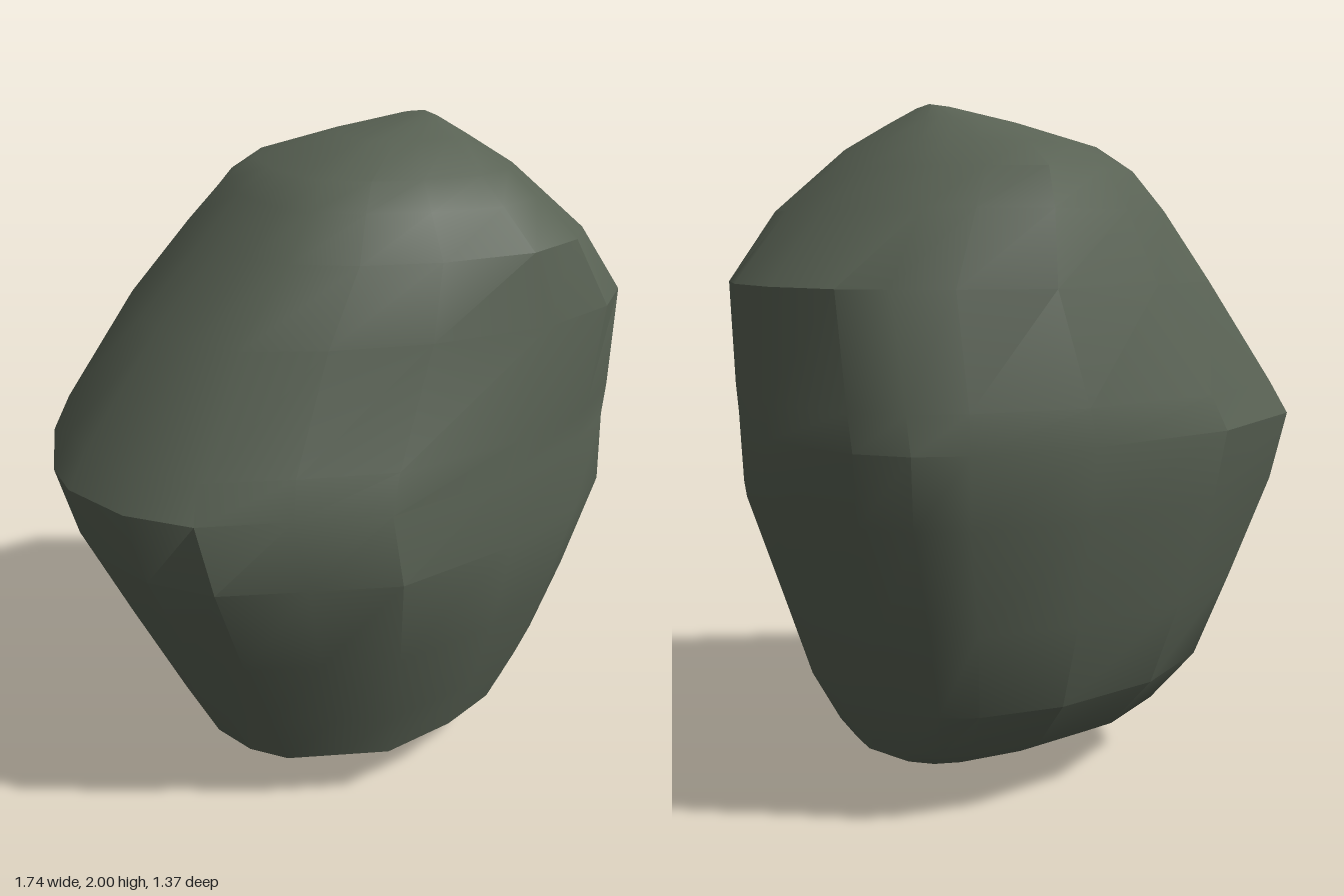
import * as THREE from 'three';
import { toCreasedNormals } from 'three/addons/utils/BufferGeometryUtils.js';

// Plan outlines of the boulder: x, z pairs, as fractions of its half extents
const roundOutline = [
  [-1, 0.15], [-0.92, 0.47], [-0.77, 0.7], [-0.5, 0.85], [-0.23, 1], [0.23, 0.95],
  [0.6, 0.81], [0.84, 0.62], [0.96, 0.3], [1, -0.03], [0.92, -0.5], [0.82, -0.69],
  [0.68, -0.81], [0.3, -0.96], [-0.23, -1], [-0.7, -0.82], [-0.88, -0.48], [-0.99, -0.07],
];
const boxyOutline = [
  [-1, 0.12], [-0.97, 0.38], [-0.86, 0.58], [-0.58, 0.77], [-0.2, 0.92], [0.3, 1],
  [0.66, 0.9], [0.86, 0.71], [0.97, 0.38], [1, -0.03], [0.92, -0.42], [0.79, -0.61],
  [0.61, -0.79], [0.3, -1], [-0.23, -0.95], [-0.66, -0.79], [-0.9, -0.48], [-1, -0.07],
];

// Levels: y, xMin, xMax, zMin, zMax, boxiness
const levels = [
  [0.02, -0.2, 0.18, -0.04, 0.06, 0],
  [0.06, -0.3, 0.33, -0.13, 0.16, 0],
  [0.13, -0.43, 0.53, -0.28, 0.36, 0],
  [0.18, -0.475, 0.56, -0.37, 0.47, 0],
  [0.35, -0.56, 0.66, -0.52, 0.53, 0.1],
  [0.6, -0.68, 0.735, -0.59, 0.61, 0.15],
  [0.9, -0.82, 0.835, -0.66, 0.685, 0.05],
  [1.1, -0.87, 0.865, -0.685, 0.655, 0],
  [1.2, -0.81, 0.86, -0.665, 0.635, 0.3],
  [1.5, -0.58, 0.84, -0.6, 0.585, 0.9],
  [1.7, -0.39, 0.665, -0.53, 0.55, 1],
  [1.81, -0.28, 0.54, -0.455, 0.46, 1],
  [1.88, -0.2, 0.46, -0.34, 0.39, 1],
  [1.95, 0.02, 0.36, -0.14, 0.22, 1],
  [1.99, 0.22, 0.3, -0.02, 0.1, 1],
];

function boulderGeometry() {
  const n = roundOutline.length;
  const positions = [];
  const index = [];
  for (const [y, x0, x1, z0, z1, boxy] of levels) {
    for (let i = 0; i < n; i++) {
      const u = THREE.MathUtils.lerp(roundOutline[i][0], boxyOutline[i][0], boxy);
      const v = THREE.MathUtils.lerp(roundOutline[i][1], boxyOutline[i][1], boxy);
      positions.push((x0 + x1 + u * (x1 - x0)) / 2, y, (z0 + z1 + v * (z1 - z0)) / 2);
    }
  }
  // Sides
  for (let j = 0; j < levels.length - 1; j++) {
    for (let i = 0; i < n; i++) {
      const a = j * n + i;
      const b = j * n + ((i + 1) % n);
      index.push(a, b, b + n, a, b + n, a + n);
    }
  }
  // Lowest and highest points
  const bottom = positions.length / 3;
  positions.push(-0.06, 0, 0, 0.28, 2, 0.04);
  const last = (levels.length - 1) * n;
  for (let i = 0; i < n; i++) {
    const next = (i + 1) % n;
    index.push(bottom, next, i, bottom + 1, last + i, last + next);
  }
  const geometry = new THREE.BufferGeometry();
  geometry.setAttribute('position', new THREE.Float32BufferAttribute(positions, 3));
  geometry.setIndex(index);
  return toCreasedNormals(geometry, 0.5);
}

export function createModel() {
  const group = new THREE.Group();
  group.name = 'rock';
  const stone = new THREE.MeshStandardMaterial({ color: 0x596254 });
  stone.name = 'mossy grey stone';
  const boulder = new THREE.Mesh(boulderGeometry(), stone);
  boulder.name = 'boulder';
  group.add(boulder);
  return group;
}
